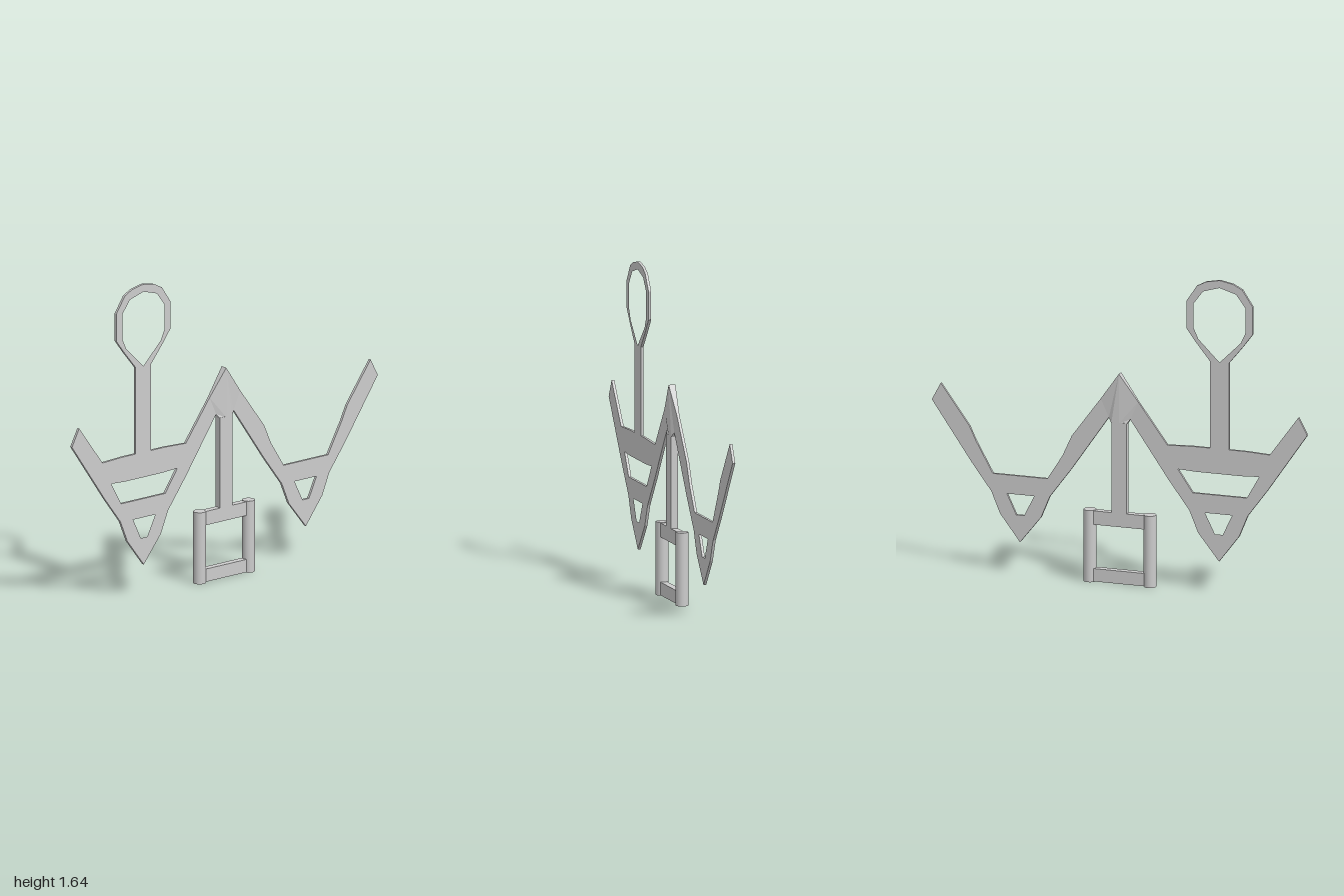
import * as THREE from 'three';

const THIN = 0.007, THICK = 0.018;
const material = new THREE.MeshStandardMaterial({ color: 0xcccccc, flatShading: true });
const smooth = new THREE.MeshStandardMaterial({ color: 0xcccccc });

const toVectors = pts => pts.map(([z, y]) => new THREE.Vector2(z, y));
const mirror = (pts, axis) => pts.map(([z, y]) => [2 * axis - z, y]);

// Plate lying in the z-y plane, centred on x = 0
function plateGeometry(outline, holes, half) {
  const shape = new THREE.Shape(toVectors(outline));
  for (const h of holes) shape.holes.push(new THREE.Path(toVectors(h)));
  const geo = new THREE.ExtrudeGeometry(shape, { depth: 2 * half, bevelEnabled: false });
  geo.translate(0, 0, -half);
  geo.rotateY(-Math.PI / 2);
  return geo;
}

export function createModel() {
  const model = new THREE.Group();
  const add = (name, geo, mat = material) => {
    const mesh = new THREE.Mesh(geo, mat);
    mesh.name = name;
    model.add(mesh);
    return mesh;
  };

  // Zigzag arms: shared lower edge and upper edges, in [z, y]
  const lower = [
    [0.953, 0.96], [1, 0.87], [0.787, 0.56], [0.683, 0.42], [0.637, 0.308], [0.53, 0.167],
    [0.418, 0.308], [0.372, 0.42], [0.257, 0.575], [0.057, 0.865], [0.1, 0.96], [0.255, 0.75],
  ];
  const bareTop = [[0.305, 0.64], [0.385, 0.513], [0.675, 0.513], [0.766, 0.677], [0.8, 0.75]];
  const smallHole = [[0.455, 0.415], [0.6, 0.415], [0.55, 0.308], [0.508, 0.308]];
  const bigHole = [[0.31, 0.63], [0.39, 0.513], [0.678, 0.513], [0.744, 0.63], [0.65, 0.625], [0.41, 0.625]];
  const barTop = [[0.39, 0.756], [0.67, 0.756], [0.8, 0.75]];

  add('frontArm', plateGeometry([...lower, ...barTop], [smallHole, bigHole], THIN));
  add('backArm', plateGeometry(mirror([...lower, ...bareTop], 0), [mirror(smallHole, 0)], THIN));

  // Peak joining the arms, thick at the middle and tapering to the arms
  const peak = [[0, 1.1], [0.1, 0.96], [0.057, 0.865], [0.04, 0.84], [0, 0.84]];
  for (const [name, pts] of [['frontPeak', peak], ['backPeak', mirror(peak, 0)]]) {
    const geo = plateGeometry(pts, [], THIN);
    const pos = geo.attributes.position;
    for (let i = 0; i < pos.count; i++) {
      if (Math.abs(pos.getZ(i)) < 0.05) pos.setX(i, Math.sign(pos.getX(i)) * THICK);
    }
    geo.computeVertexNormals();
    add(name, geo);
  }

  // Post with faceted loop on the front arm
  const axis = 0.533;
  const outer = [[0.482, 0.75], [0.482, 1.21], [0.405, 1.305], [0.357, 1.37], [0.357, 1.515], [0.412, 1.598], [0.46, 1.623]];
  const inner = [[0.42, 1.32], [0.395, 1.375], [0.395, 1.505], [0.445, 1.572]];
  const loop = [...outer, [axis, 1.637], ...mirror(outer, axis).reverse()];
  const opening = [[axis, 1.208], ...inner, [axis, 1.598], ...mirror(inner, axis).reverse()];
  add('loopPost', plateGeometry(loop, [opening], THIN));

  // Central stem and hanging frame
  const box = (name, depth, y0, y1) =>
    add(name, new THREE.BoxGeometry(2 * THICK, y1 - y0, depth)).position.y = (y0 + y1) / 2;
  box('stem', 0.08, 0.37, 0.845);
  box('upperFrameBar', 0.3, 0.3, 0.372);
  box('lowerFrameBar', 0.3, 0.003, 0.07);
  for (const side of [1, -1]) {
    const rod = add(side > 0 ? 'frontFrameRod' : 'backFrameRod',
      new THREE.CylinderGeometry(0.032, 0.032, 0.375, 20), smooth);
    rod.position.set(0, 0.1875, side * 0.16);
  }
  return model;
}
